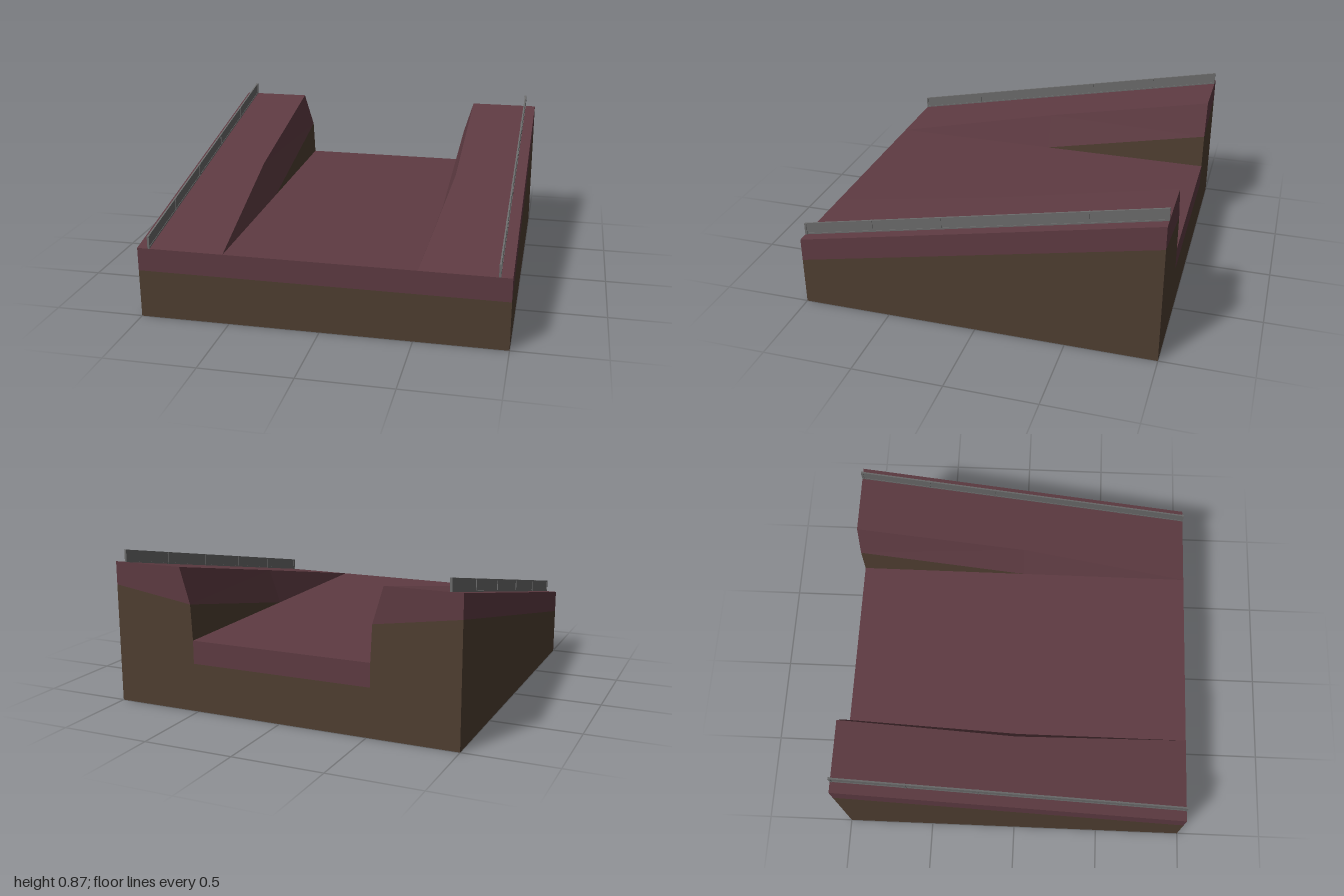
import * as THREE from 'three';
import { mergeGeometries } from 'three/addons/utils/BufferGeometryUtils.js';

const material = (color) => new THREE.MeshStandardMaterial({ color, flatShading: true, side: THREE.DoubleSide });

// Fan of triangles over a flat outline; s = -1 mirrors it in x and keeps it facing outward
function face(corners, s = 1) {
  const p = corners.map(([x, y, z]) => [x * s, y, z]);
  if (s < 0) p.reverse().unshift(p.pop());
  const pos = [];
  for (let i = 1; i < p.length - 1; i++) pos.push(...p[0], ...p[i], ...p[i + 1]);
  const g = new THREE.BufferGeometry();
  g.setAttribute('position', new THREE.Float32BufferAttribute(pos, 3));
  g.computeVertexNormals();
  return g;
}

function addMesh(parent, name, geometries, mat) {
  const mesh = new THREE.Mesh(mergeGeometries(geometries), mat);
  mesh.name = name;
  parent.add(mesh);
}

export function createModel() {
  const model = new THREE.Group();
  model.name = 'rampTile';
  const turf = material(0x5e3b42), soil = material(0x4f3e31), metal = material(0x6b6b6b);

  // Flat road floor and the end walls below it
  const F = 0.4, B = 0.27, W = 0.52;
  addMesh(model, 'roadFloor', [face([[-W, F, 1], [W, F, 1], [W, F, -1], [-W, F, -1]])], turf);
  addMesh(model, 'endWallTurf', [
    face([[-1, B, 1], [1, B, 1], [1, F, 1], [-1, F, 1]]),
    face([[W, B, -1], [-W, B, -1], [-W, F, -1], [W, F, -1]]),
  ], turf);
  addMesh(model, 'endWallSoil', [
    face([[-1, 0, 1], [1, 0, 1], [1, B, 1], [-1, B, 1]]),
    face([[W, 0, -1], [-W, 0, -1], [-W, B, -1], [W, B, -1]]),
  ], soil);

  for (const s of [1, -1]) {
    const bank = new THREE.Group();
    bank.name = s > 0 ? 'leftBank' : 'rightBank';
    model.add(bank);

    // Sloping top, upper cliff and the turf bands on side and back
    addMesh(bank, 'bankTurf', [
      [[1, F, 1], [1, 0.8, -1], [0.59, 0.8, -1], [0.59, 0.6, 0], [W, F, 1]],
      [[0.53, 0.6, -1], [W, F, 0], [0.59, 0.6, 0], [0.59, 0.8, -1]],
      [[W, F, 0], [W, F, 1], [0.59, 0.6, 0]],
      [[1, B, 1], [1, 0.67, -1], [1, 0.8, -1], [1, F, 1]],
      [[1, 0.67, -1], [0.53, 0.6, -1], [0.59, 0.8, -1], [1, 0.8, -1]],
    ].map((c) => face(c, s)), turf);

    // Soil on the outer side, the back and the foot of the cliff
    addMesh(bank, 'bankSoil', [
      [[1, 0, 1], [1, 0, -1], [1, 0.67, -1], [1, B, 1]],
      [[1, 0, -1], [W, 0, -1], [W, F, -1], [0.53, 0.6, -1], [1, 0.67, -1]],
      [[W, F, -1], [W, F, 0], [0.53, 0.6, -1]],
    ].map((c) => face(c, s)), soil);

    // Guard rail: panel, rails and posts, sheared to follow the slope
    const box = (w, h, d, y, z) => {
      const g = new THREE.BoxGeometry(w, h, d).translate(s * 0.935, y, z);
      const p = g.attributes.position;
      for (let i = 0; i < p.count; i++) p.setY(i, p.getY(i) + 0.6 - 0.2 * p.getZ(i));
      g.computeVertexNormals();
      return g;
    };
    addMesh(bank, 'railPanel', [box(0.004, 0.066, 2, 0.035, 0)], metal);
    addMesh(bank, 'rails', [0.004, 0.066].map((y) => box(0.009, 0.008, 2, y, 0)), metal);
    const posts = [];
    for (let i = 0; i < 6; i++) posts.push(box(0.012, 0.07, 0.012, 0.035, -0.994 + i * 0.3976));
    addMesh(bank, 'railPosts', posts, metal);
  }
  return model;
}
